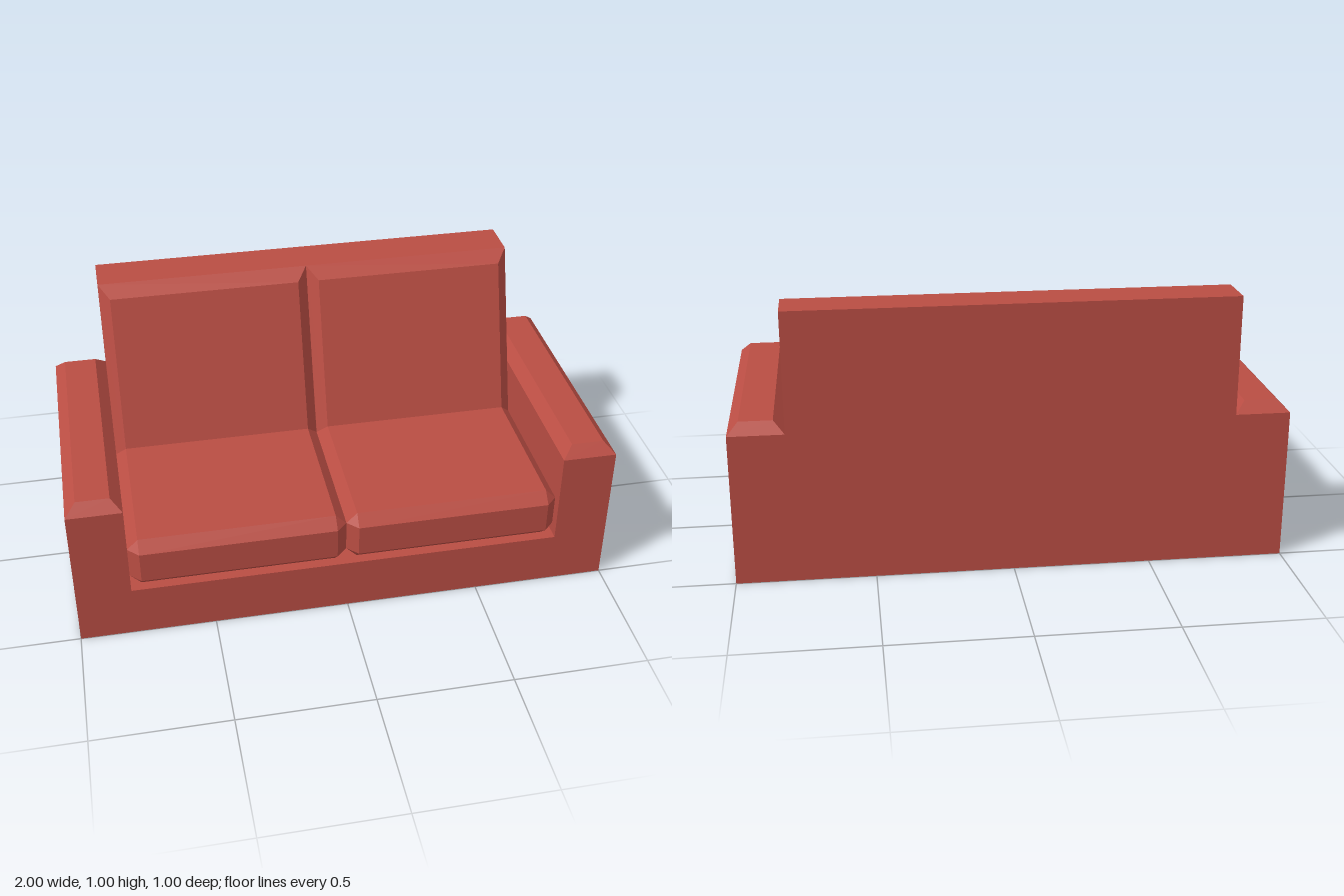
import * as THREE from 'three';
import { ConvexGeometry } from 'three/addons/geometries/ConvexGeometry.js';

const BEVEL = 0.04;

// Chamfered box: every face is inset by the bevel, joined by angled edges and corners
function chamferedBox(w, h, d, b) {
  const points = [];
  for (const sx of [-1, 1]) for (const sy of [-1, 1]) for (const sz of [-1, 1]) {
    const x = w / 2, y = h / 2, z = d / 2;
    points.push(
      new THREE.Vector3(sx * x, sy * (y - b), sz * (z - b)),
      new THREE.Vector3(sx * (x - b), sy * y, sz * (z - b)),
      new THREE.Vector3(sx * (x - b), sy * (y - b), sz * z)
    );
  }
  return new ConvexGeometry(points);
}

// Shape from [x, y] pairs, extruded along z and centred
function extrudeProfile(pairs, depth) {
  const shape = new THREE.Shape(pairs.map(([x, y]) => new THREE.Vector2(x, y)));
  const geometry = new THREE.ExtrudeGeometry(shape, { depth, bevelEnabled: false });
  return geometry.translate(0, 0, -depth / 2);
}

export function createModel() {
  const sofa = new THREE.Group();
  sofa.name = 'sofa';
  const fabric = new THREE.MeshStandardMaterial({ color: 0xb94d43 });
  fabric.name = 'redFabric';

  function add(name, geometry, x = 0, y = 0, z = 0) {
    const mesh = new THREE.Mesh(geometry, fabric);
    mesh.name = name;
    mesh.position.set(x, y, z);
    sofa.add(mesh);
    return mesh;
  }

  // Base and both arms as one U-shaped body
  add('body', extrudeProfile([
    [-1, 0], [1, 0], [1, 0.56], [0.8, 0.56],
    [0.8, 0.2], [-0.8, 0.2], [-0.8, 0.56], [-1, 0.56],
  ], 1));

  // Backrest: side profile with a sloping front, laid across the width
  const backrest = extrudeProfile([
    [-0.5, 0.2], [-0.073, 0.2], [-0.34, 1], [-0.5, 1],
  ], 1.6);
  backrest.rotateY(-Math.PI / 2);
  add('backrest', backrest);

  for (const side of [-1, 1]) {
    const label = side > 0 ? 'left' : 'right';

    // Bevelled arm top
    const cap = [];
    for (const sx of [-1, 1]) for (const sz of [-1, 1]) {
      cap.push(
        new THREE.Vector3(sx * 0.1, 0, sz * 0.5),
        new THREE.Vector3(sx * (0.1 - BEVEL), BEVEL, sz * (0.5 - BEVEL))
      );
    }
    add(label + 'ArmTop', new ConvexGeometry(cap), side * 0.9, 0.56, 0);

    // Seat cushion
    add(label + 'SeatCushion', chamferedBox(0.8, 0.2, 0.7, BEVEL), side * 0.4, 0.3, 0.15);

    // Back cushion: bevelled slab lying on the sloping backrest
    const slab = [];
    for (const sx of [-1, 1]) {
      slab.push(
        new THREE.Vector3(sx * 0.4, 1, -0.34),
        new THREE.Vector3(sx * 0.4, 0.3, -0.107),
        new THREE.Vector3(sx * (0.4 - BEVEL), 0.96, -0.287),
        new THREE.Vector3(sx * (0.4 - BEVEL), 0.3, -0.067)
      );
    }
    add(label + 'BackCushion', new ConvexGeometry(slab), side * 0.4, 0, 0);
  }

  return sofa;
}
